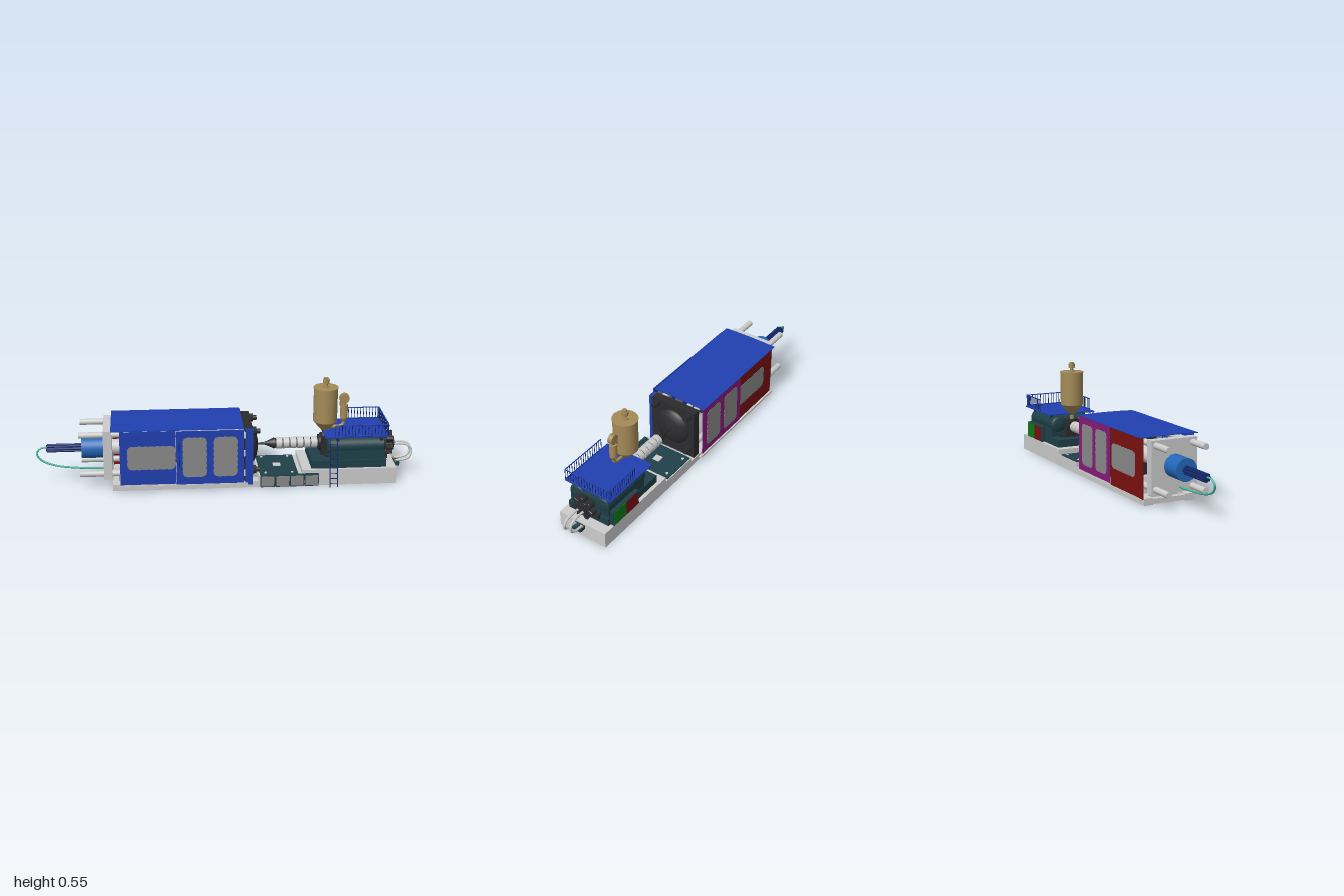
import * as THREE from 'three';

const ZC = -0.01; // machine centre line
const COLORS = {
  grey: 0xcccccc, panel: 0x8a8a8a, blue: 0x2040b0, navy: 0x14286a, cyl: 0x2468b8, teal: 0x1f4048,
  dark: 0x2c2c2e, tan: 0xa48a58, red: 0x7a1010, magenta: 0x8a1a7a, green: 0x0e7a14, cable: 0x40b8a0,
};
const mats = {};
for (const k in COLORS) mats[k] = new THREE.MeshStandardMaterial({ color: COLORS[k] });

export function createModel() {
  const root = new THREE.Group();

  const add = (name, geo, mat, x = 0, y = 0, z = 0) => {
    const m = new THREE.Mesh(geo, mats[mat]);
    m.name = name;
    m.position.set(x, y, z);
    root.add(m);
    return m;
  };
  // box from its limits
  const box = (name, mat, x0, x1, y0, y1, z0, z1) =>
    add(name, new THREE.BoxGeometry(x1 - x0, y1 - y0, z1 - z0), mat, (x0 + x1) / 2, (y0 + y1) / 2, (z0 + z1) / 2);
  // cylinder lying along x
  const rod = (name, mat, x0, x1, y, z, r, r1 = r, seg = 28) => {
    const g = new THREE.CylinderGeometry(r1, r, x1 - x0, seg).rotateZ(-Math.PI / 2);
    return add(name, g, mat, (x0 + x1) / 2, y, z);
  };
  const cyl = (name, mat, x, y0, y1, z, r, r1 = r) =>
    add(name, new THREE.CylinderGeometry(r1, r, y1 - y0, 32), mat, x, (y0 + y1) / 2, z);
  const tube = (name, mat, pts, r, seg = 48) => add(name, new THREE.TubeGeometry(
    new THREE.CatmullRomCurve3(pts.map((p) => new THREE.Vector3(...p))), seg, r, 8), mat);
  const bar = (name, mat, a, b, r) => {
    const c = new THREE.LineCurve3(new THREE.Vector3(...a), new THREE.Vector3(...b));
    return add(name, new THREE.TubeGeometry(c, 1, r, 6), mat);
  };

  // Base: high bed, low bed, open rails under the clamp
  box('injectionBed', 'grey', 0.39, 0.89, 0, 0.088, -0.15, 0.13);
  box('lowBed', 'grey', 0.16, 0.39, 0, 0.06, -0.15, 0.13);
  box('bedCover', 'teal', 0.17, 0.37, 0.06, 0.065, -0.145, 0.13);
  box('coverHatch', 'grey', 0.25, 0.29, 0.065, 0.068, -0.03, 0.01);
  for (const x of [0.2, 0.34]) for (const z of [-0.12, 0.1]) cyl('coverBolt', 'grey', x, 0.065, 0.07, z, 0.007);
  for (const z of [-0.125, 0.105]) box('clampRail', 'grey', -0.6, 0.16, 0, 0.035, z - 0.025, z + 0.025);
  for (const x of [-0.6, -0.52]) box('crossBeam', 'grey', x, x + 0.03, 0.004, 0.03, -0.1, 0.08);
  for (const [z, s] of [[-0.164, -1], [0.152, 1]]) {
    box('doorTrack', 'grey', -0.6, 0.1, 0.026, 0.031, z - 0.009, z + 0.009);
    box('doorTrackLip', 'grey', -0.6, 0.1, 0.031, 0.04, z + s * 0.009 - 0.002, z + s * 0.009 + 0.002);
  }
  for (let i = 0; i < 4; i++) {
    const x = 0.17 + i * 0.077;
    box('sideCabinet', 'teal', x, x + 0.074, 0.005, 0.07, 0.13, 0.148);
    box('cabinetDoor', 'panel', x + 0.004, x + 0.07, 0.01, 0.065, 0.148, 0.15);
  }

  // Clamp: end platen, tie bars, moving and fixed platens
  box('endPlaten', 'grey', -0.645, -0.6, 0.062, 0.325, -0.135, 0.115);
  box('movingPlaten', 'dark', -0.25, -0.18, 0.06, 0.31, -0.13, 0.11);
  rod('clampPiston', 'grey', -0.6, -0.25, 0.195, ZC, 0.04);
  box('fixedPlaten', 'dark', 0.085, 0.13, 0.035, 0.325, -0.145, 0.125);
  for (const y of [0.085, 0.3]) for (const z of [-0.11, 0.09]) {
    rod('tieBar', 'grey', -0.77, 0.12, y, z, 0.016);
    rod('tieBarNut', 'dark', 0.13, 0.15, y, z, 0.022, 0.022, 6);
    rod('tieBarEnd', 'dark', 0.15, 0.17, y, z, 0.013);
  }
  const dome = [[0.1, 0], [0.098, 0.008], [0.085, 0.02], [0.06, 0.03], [0.03, 0.037], [0, 0.038]];
  add('platenDome', new THREE.LatheGeometry(dome.map((p) => new THREE.Vector2(...p)), 40).rotateZ(-Math.PI / 2),
    'dark', 0.13, 0.19, ZC);

  // Hydraulic cylinder, ribbed rod and its looping cable
  rod('clampCylinder', 'cyl', -0.76, -0.645, 0.195, ZC, 0.057, 0.057, 40);
  rod('rearRod', 'navy', -0.945, -0.76, 0.195, ZC, 0.017);
  for (let i = 0; i < 8; i++) {
    const a = (i / 8) * Math.PI * 2;
    rod('rearRodRib', 'navy', -0.94, -0.76, 0.195 + Math.cos(a) * 0.018, ZC + Math.sin(a) * 0.018, 0.006, 0.006, 8);
  }
  tube('cable', 'cable', [[-0.94, 0.2, ZC], [-0.975, 0.196, -0.005], [-0.995, 0.17, 0], [-0.97, 0.135, 0.008],
    [-0.9, 0.107, 0.015], [-0.78, 0.092, 0.02], [-0.64, 0.085, 0.02]], 0.005);

  // Guard: arched roof, sliding doors with windows
  const roof = new THREE.BoxGeometry(0.685, 0.004, 0.314, 1, 1, 16);
  const rp = roof.attributes.position;
  for (let i = 0; i < rp.count; i++) rp.setY(i, rp.getY(i) + 0.003 * Math.cos(rp.getZ(i) * 10));
  roof.computeVertexNormals();
  add('guardRoof', roof, 'blue', -0.262, 0.334, -0.015);

  const windowPane = (x0, x1, y0, y1, z) => {
    // chamfered outline with shallow scallops along the sides
    const c = 0.014, s = new THREE.Shape();
    const corners = [[x0 + c, y0], [x1 - c, y0], [x1, y0 + c], [x1, y1 - c], [x1 - c, y1], [x0 + c, y1], [x0, y1 - c], [x0, y0 + c]];
    s.moveTo(...corners[0]);
    corners.forEach((a, i) => {
      const b = corners[(i + 1) % 8];
      const dx = b[0] - a[0], dy = b[1] - a[1], len = Math.hypot(dx, dy), n = Math.max(1, Math.round(len / 0.03));
      for (let k = 0; k < n; k++) {
        const m = (k + 0.5) / n, e = (k + 1) / n;
        s.quadraticCurveTo(a[0] + dx * m + (dy / len) * 0.006, a[1] + dy * m - (dx / len) * 0.006, a[0] + dx * e, a[1] + dy * e);
      }
    });
    add('doorWindow', new THREE.ExtrudeGeometry(s, { depth: 0.007, bevelEnabled: false, curveSegments: 4 }), 'panel', 0, 0, z - 0.0035);
  };
  const door = (name, mat, x0, x1, y0, z, panes) => {
    box(name, mat, x0, x1, y0, 0.332, z - 0.002, z + 0.002);
    for (const p of panes) windowPane(...p, z);
  };
  const wide = [[-0.52, -0.275, 0.125, 0.25]];
  const pair = [[-0.235, -0.115, 0.08, 0.295], [-0.075, 0.045, 0.08, 0.295]];
  door('frontRearDoor', 'blue', -0.56, -0.272, 0.04, 0.146, wide);
  door('frontMouldDoor', 'blue', -0.27, 0.08, 0.035, 0.152, pair);
  door('backRearDoor', 'red', -0.6, -0.26, 0.03, -0.156, wide);
  door('backMouldDoor', 'magenta', -0.27, 0.085, 0.045, -0.168, pair);
  box('frontPost', 'blue', 0.09, 0.13, 0.02, 0.325, 0.12, 0.142);
  for (const y of [0.07, 0.18, 0.28]) box('postHinge', 'grey', 0.08, 0.09, y, y + 0.03, 0.125, 0.14);
  tube('doorHandle', 'navy', [[-0.255, 0.14, 0.152], [-0.255, 0.143, 0.165], [-0.255, 0.155, 0.169], [-0.255, 0.26, 0.169],
    [-0.255, 0.271, 0.165], [-0.255, 0.274, 0.152]], 0.0022);

  // Nozzle, barrel and heater bands
  const barrel = [[0, 0.165], [0.005, 0.165], [0.006, 0.2], [0.012, 0.215], [0.03, 0.255], [0.026, 0.26], [0.026, 0.5]];
  add('barrel', new THREE.LatheGeometry(barrel.map((p) => new THREE.Vector2(...p)), 28).rotateZ(-Math.PI / 2), 'dark', 0, 0.19, ZC);
  for (let i = 0; i < 6; i++) rod('heaterBand', 'grey', 0.265 + i * 0.037, 0.297 + i * 0.037, 0.19, ZC, 0.03);
  rod('barrelFlange', 'dark', 0.488, 0.5, 0.19, ZC, 0.042);
  box('feedThroat', 'dark', 0.5, 0.55, 0.13, 0.228, -0.05, 0.03);

  // Injection unit
  box('slideBase', 'teal', 0.44, 0.835, 0.088, 0.13, -0.13, 0.115);
  box('slideGuide', 'dark', 0.52, 0.85, 0.115, 0.14, -0.08, 0.06);
  for (const s of [-1, 1]) {
    const z = ZC + s * 0.077;
    rod('injectionCylinder', 'teal', 0.535, 0.82, 0.2, z, 0.043, 0.043, 36);
    for (const x of [0.535, 0.82]) {
      const cap = add('cylinderCap', new THREE.SphereGeometry(0.043, 28, 14), 'teal', x, 0.2, z);
      cap.scale.x = 0.3;
    }
    box('cylinderFoot', 'teal', 0.54, 0.825, 0.13, 0.2, z - 0.04, z + 0.04);
  }
  box('driveHousing', 'teal', 0.55, 0.83, 0.14, 0.22, -0.08, 0.06);
  rod('driveShaft', 'dark', 0.82, 0.85, 0.18, ZC, 0.035);
  box('controlCabinet', 'teal', 0.62, 0.82, 0.09, 0.175, -0.152, -0.13);
  box('greenPanel', 'green', 0.725, 0.815, 0.093, 0.172, -0.155, -0.152);
  box('redPanel', 'red', 0.63, 0.72, 0.093, 0.172, -0.155, -0.152);

  // Lobed rotary motor
  const lobes = new THREE.Shape();
  for (let i = 0; i <= 84; i++) {
    const a = (i / 84) * Math.PI * 2, r = 0.052 + 0.012 * Math.tanh(2 * Math.cos(7 * a));
    lobes[i ? 'lineTo' : 'moveTo'](r * Math.sin(a), r * Math.cos(a));
  }
  add('rotaryMotor', new THREE.ExtrudeGeometry(lobes, { depth: 0.032, bevelSize: 0.002, bevelThickness: 0.003, bevelSegments: 1 })
    .rotateY(Math.PI / 2), 'dark', 0.85, 0.18, ZC);
  rod('motorCap', 'dark', 0.885, 0.895, 0.18, ZC, 0.032);
  box('hoseManifold', 'teal', 0.89, 0.925, 0.058, 0.079, -0.027, 0.033);
  for (const [z0, z1] of [[0.006, 0.022], [-0.026, -0.02]]) {
    tube('hose', 'grey', [[0.885, 0.172, z0], [0.94, 0.174, z0], [0.978, 0.16, z0 + (z1 - z0) * 0.3], [0.989, 0.13, (z0 + z1) / 2],
      [0.975, 0.1, z1], [0.945, 0.088, z1], [0.905, 0.085, z1]], 0.0065);
    for (const d of [-0.006, 0.006]) cyl('hoseFitting', 'tan', 0.905, 0.079, 0.087, z1 + d, 0.004);
  }

  // Service deck, railing and ladder
  box('deck', 'blue', 0.507, 0.84, 0.259, 0.265, -0.155, 0.125);
  for (const x of [0.57, 0.8]) for (const z of [-0.11, 0.09]) box('deckLeg', 'dark', x, x + 0.015, 0.2, 0.26, z - 0.007, z + 0.007);
  const railing = (a, b, n) => {
    for (const y of [0.268, 0.328]) bar('railingBar', 'blue', [a[0], y, a[1]], [b[0], y, b[1]], 0.0028);
    for (let i = 0; i <= n; i++) {
      const x = a[0] + ((b[0] - a[0]) * i) / n, z = a[1] + ((b[1] - a[1]) * i) / n;
      bar('railingPicket', 'navy', [x, 0.265, z], [x, 0.328, z], 0.0018);
    }
  };
  railing([0.56, 0.122], [0.838, 0.122], 16);
  railing([0.838, 0.122], [0.838, -0.148], 16);
  railing([0.64, -0.148], [0.838, -0.148], 12);
  box('railingEndPanel', 'blue', 0.832, 0.84, 0.265, 0.33, -0.15, -0.138);
  for (const x of [0.53, 0.57]) bar('ladderStile', 'navy', [x, 0.005, 0.175], [x, 0.26, 0.126], 0.0022);
  for (let i = 0; i < 9; i++) {
    const t = 0.08 + i * 0.1;
    bar('ladderRung', 'navy', [0.53, 0.005 + t * 0.255, 0.175 - t * 0.049], [0.57, 0.005 + t * 0.255, 0.175 - t * 0.049], 0.0018);
  }

  // Hopper with loader stack and side blower
  const HX = 0.523;
  cyl('hopperSpout', 'tan', HX, 0.225, 0.255, ZC + 0.003, 0.011);
  cyl('hopperCone', 'tan', HX, 0.25, 0.312, ZC + 0.003, 0.011, 0.063);
  cyl('hopperBody', 'tan', HX, 0.312, 0.495, ZC + 0.003, 0.063);
  cyl('hopperLid', 'tan', HX, 0.494, 0.498, ZC + 0.003, 0.066);
  for (const [y0, y1, r] of [[0.498, 0.504, 0.018], [0.504, 0.52, 0.009], [0.52, 0.541, 0.018], [0.541, 0.55, 0.012]])
    cyl('loaderStack', 'tan', HX, y0, y1, ZC + 0.003, r);
  const fan = add('blowerFan', new THREE.CylinderGeometry(0.026, 0.026, 0.026, 32), 'tan', 0.622, 0.434, -0.006);
  fan.rotation.x = Math.PI / 2;
  box('blowerOutlet', 'tan', 0.6, 0.612, 0.39, 0.435, -0.018, 0.006);
  cyl('blowerNeck', 'tan', 0.622, 0.39, 0.42, -0.006, 0.01);
  cyl('blowerHeater', 'tan', 0.622, 0.325, 0.4, -0.006, 0.02);
  cyl('heaterCone', 'tan', 0.622, 0.305, 0.325, -0.006, 0.009, 0.02);
  tube('airPipe', 'tan', [[0.622, 0.315, -0.006], [0.62, 0.292, -0.006], [0.605, 0.28, -0.006], [0.54, 0.277, -0.006]], 0.009, 20);

  return root;
}
